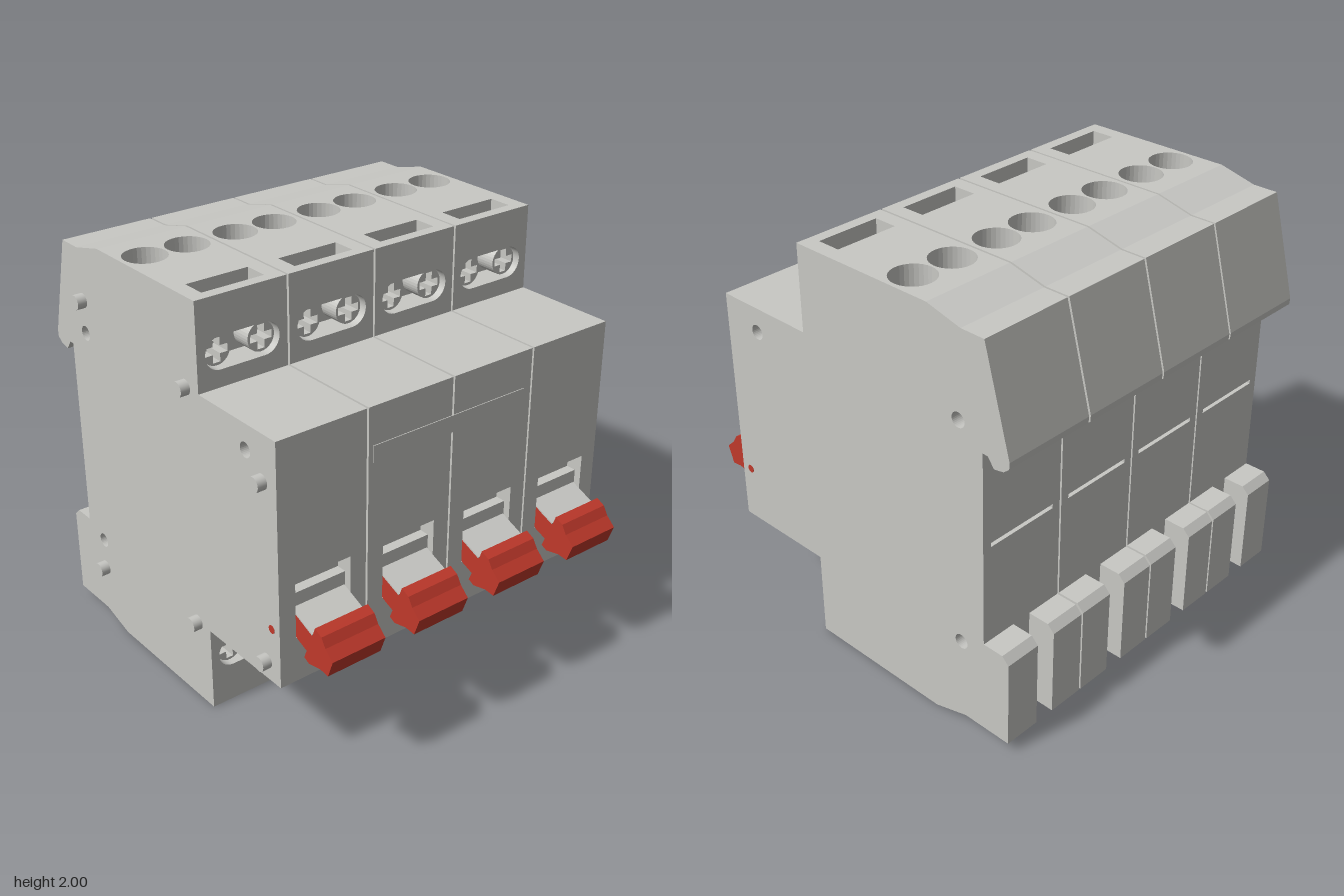
import * as THREE from 'three';

const mat = (name, color) => {
  const m = new THREE.MeshStandardMaterial({ color });
  m.name = name;
  return m;
};
const grey = mat('housingGrey', 0xc8c8c4);
const red = mat('leverRed', 0xc0392b);
const brass = mat('brass', 0xa8955f);

const HALF = 0.2285;   // half width of one module
const PITCH = 0.4675;

const shapeOf = (pts, holes = []) => {
  const s = new THREE.Shape(pts.map(p => new THREE.Vector2(...p)));
  s.holes.push(...holes);
  return s;
};
const rect = (x0, y0, x1, y1) => [[x0, y0], [x1, y0], [x1, y1], [x0, y1]];
const path = pts => new THREE.Path(pts.map(p => new THREE.Vector2(...p)));
const circle = (x, y, r) => new THREE.Path().absarc(x, y, r, 0, Math.PI * 2, true);
const extrude = (s, depth) =>
  new THREE.ExtrudeGeometry(s, { depth, bevelEnabled: false, curveSegments: 16 });

// side profile (z, y) extruded from x0 to x1
const alongX = (s, x0, x1) => extrude(s, x1 - x0).rotateY(-Math.PI / 2).translate(x1, 0, 0);
// plan (x, z) extruded from y0 to y1
const alongY = (s, y0, y1) => extrude(s, y1 - y0).rotateX(Math.PI / 2).translate(0, y1, 0);
// elevation (x, y) extruded from z0 to z1
const alongZ = (s, z0, z1) => extrude(s, z1 - z0).translate(0, 0, z0);

function add(group, name, geometry, material = grey) {
  const m = new THREE.Mesh(geometry, material);
  m.name = name;
  group.add(m);
  return m;
}

// the same profile on both sides of the module
function pair(group, name, shape, a, b) {
  add(group, name, alongX(shape, a, b));
  add(group, name, alongX(shape, -b, -a));
}

// rear housing profile with optional rail foot, latch slot and back slit
function rearProfile(foot, latch, slit) {
  const pts = [[-0.54, 0], [-0.54, 2], [-0.72, 1.955], [-0.842, 1.955], [-0.97, 1.475],
    [-0.968, 1.445], [-0.94, 1.42], [-0.889, 1.41], [-0.857, 1.455], [-0.83, 1.455]];
  if (slit) pts.push([-0.83, 1.01], [-0.79, 1.01], [-0.79, 0.99], [-0.83, 0.99]);
  if (foot) {
    pts.push([-0.83, 0.515], [-0.935, 0.515], [-0.97, 0.48], [-0.97, 0.053]);
    if (latch) pts.push([-0.86, 0.053], [-0.86, 0.15]);
  } else pts.push([-0.83, 0.15]);
  if (latch) pts.push([-0.78, 0.15], [-0.78, 0.053]);
  pts.push([-0.72, 0.053]);
  return shapeOf(pts, [circle(-0.7, 1.55, 0.035), circle(-0.7, 0.455, 0.035)]);
}

// front housing profile, with or without the lever window
function frontProfile(windowed) {
  const pts = [[-0.2, 0.12], [0.08, 0.12], [0.08, 0.42], [0.735, 0.42]];
  if (windowed) pts.push([0.735, 0.64], [0.7, 0.64], [0.7, 0.835], [0.65, 0.835], [0.65, 0.925], [0.735, 0.925]);
  pts.push([0.735, 1.59], [0.08, 1.59], [0.08, 1.88], [-0.2, 1.88]);
  return shapeOf(pts, [circle(0.53, 1.47, 0.035)]);
}

function stadium(y) {
  const p = new THREE.Path();
  p.absarc(0.112, y, 0.075, -Math.PI / 2, Math.PI / 2, false);
  p.absarc(-0.112, y, 0.075, Math.PI / 2, Math.PI * 1.5, false);
  p.closePath();
  return p;
}

function screwHead() {
  const s = new THREE.Shape().absarc(0, 0, 0.068, 0, Math.PI * 2, false);
  const a = 0.055, b = 0.018;
  s.holes.push(path([[a, b], [b, b], [b, a], [-b, a], [-b, b], [-a, b],
    [-a, -b], [-b, -b], [-b, -a], [b, -a], [b, -b], [a, -b]]));
  return alongZ(s, 0.08, 0.18);
}

function threadedRod(y0, y1) {
  const pts = [[0, y0]];
  const n = 12;
  for (let i = 0; i <= n; i++) pts.push([i % 2 ? 0.066 : 0.075, y0 + (y1 - y0) * i / n]);
  pts.push([0, y1]);
  return new THREE.LatheGeometry(pts.map(p => new THREE.Vector2(...p)), 20).translate(-0.023, 0, -0.33);
}

function createModule() {
  const g = new THREE.Group();
  g.name = 'breakerModule';

  // rear housing with rail hook and foot
  add(g, 'rearCentre', alongX(rearProfile(false, true, true), -0.05, 0.05));
  pair(g, 'rearFoot', rearProfile(true, true, true), 0.05, 0.145);
  pair(g, 'rearRib', rearProfile(true, false, true), 0.145, 0.185);
  pair(g, 'rearWall', rearProfile(true, false, false), 0.185, HALF);

  // front housing around the lever window
  add(g, 'frontCentre', alongX(frontProfile(true), -0.145, 0.145));
  pair(g, 'frontWall', frontProfile(false), 0.145, HALF);

  // middle column with the vertical shaft and paired terminal openings
  const column = rect(-HALF, -0.54, HALF, -0.2);
  add(g, 'column', alongY(shapeOf(column, [circle(-0.03, -0.34, 0.105)]), 0.2, 1.8));
  for (const [y0, y1] of [[0, 0.2], [1.8, 2]]) {
    add(g, 'terminalCap', alongY(shapeOf(column,
      [circle(-0.107, -0.343, 0.101), circle(0.107, -0.343, 0.101)]), y0, y1));
  }
  add(g, 'lowerClampScrew', threadedRod(0.21, 0.7), brass);
  add(g, 'upperClampScrew', threadedRod(1.3, 1.79), brass);

  // slotted plates on the top and bottom
  for (const [y0, y1] of [[0, 0.12], [1.88, 2]]) {
    add(g, 'slotPlate', alongY(shapeOf(rect(-HALF, -0.2, HALF, 0.21),
      [path(rect(-0.155, 0.04, 0.155, 0.155))]), y0, y1));
  }

  // recessed terminal screws above and below the nose
  for (const [y0, y1, y] of [[0.12, 0.42, 0.265], [1.59, 1.88, 1.745]]) {
    add(g, 'terminalPlate', alongZ(shapeOf(rect(-HALF, y0, HALF, y1), [stadium(y)]), 0.08, 0.21));
    for (const x of [-0.112, 0.112]) add(g, 'terminalScrew', screwHead()).position.set(x, y, 0);
  }

  // rivet pins on one side
  for (const [z, y] of [[-0.7, 1.71], [-0.7, 0.3], [0.115, 1.59], [0.115, 0.42], [0.64, 1.375], [0.64, 0.51]]) {
    const pin = new THREE.CylinderGeometry(0.035, 0.035, 0.05, 20).rotateZ(Math.PI / 2);
    add(g, 'rivetPin', pin).position.set(-HALF - 0.02, y, z);
  }

  // lever with its pivot and neck cover
  const lever = shapeOf([[0.69, 0.767], [0.84, 0.705], [0.857, 0.753], [0.9, 0.732], [0.926, 0.69],
    [0.973, 0.647], [0.942, 0.562], [0.889, 0.568], [0.815, 0.552], [0.783, 0.568], [0.8, 0.61], [0.69, 0.655]]);
  add(g, 'lever', alongX(lever, -0.14, 0.14), red);
  const cover = add(g, 'neckCover', new THREE.BoxGeometry(0.28, 0.008, 0.15));
  cover.position.set(0, 0.738, 0.768);
  cover.rotation.x = 0.392;
  add(g, 'leverPivot', new THREE.CylinderGeometry(0.02, 0.02, HALF * 2 + 0.003, 12).rotateZ(Math.PI / 2), red)
    .position.set(0, 0.69, 0.68);
  return g;
}

export function createModel() {
  const model = new THREE.Group();
  model.name = 'circuitBreaker';
  for (let i = 0; i < 4; i++) {
    const m = createModule();
    m.position.x = -0.91 + HALF + i * PITCH;
    model.add(m);
  }
  // thin blank label strip across the two middle modules
  add(model, 'labelStrip', new THREE.BoxGeometry(0.86, 0.08, 0.006)).position.set(0.01, 1.37, 0.736);
  return model;
}
